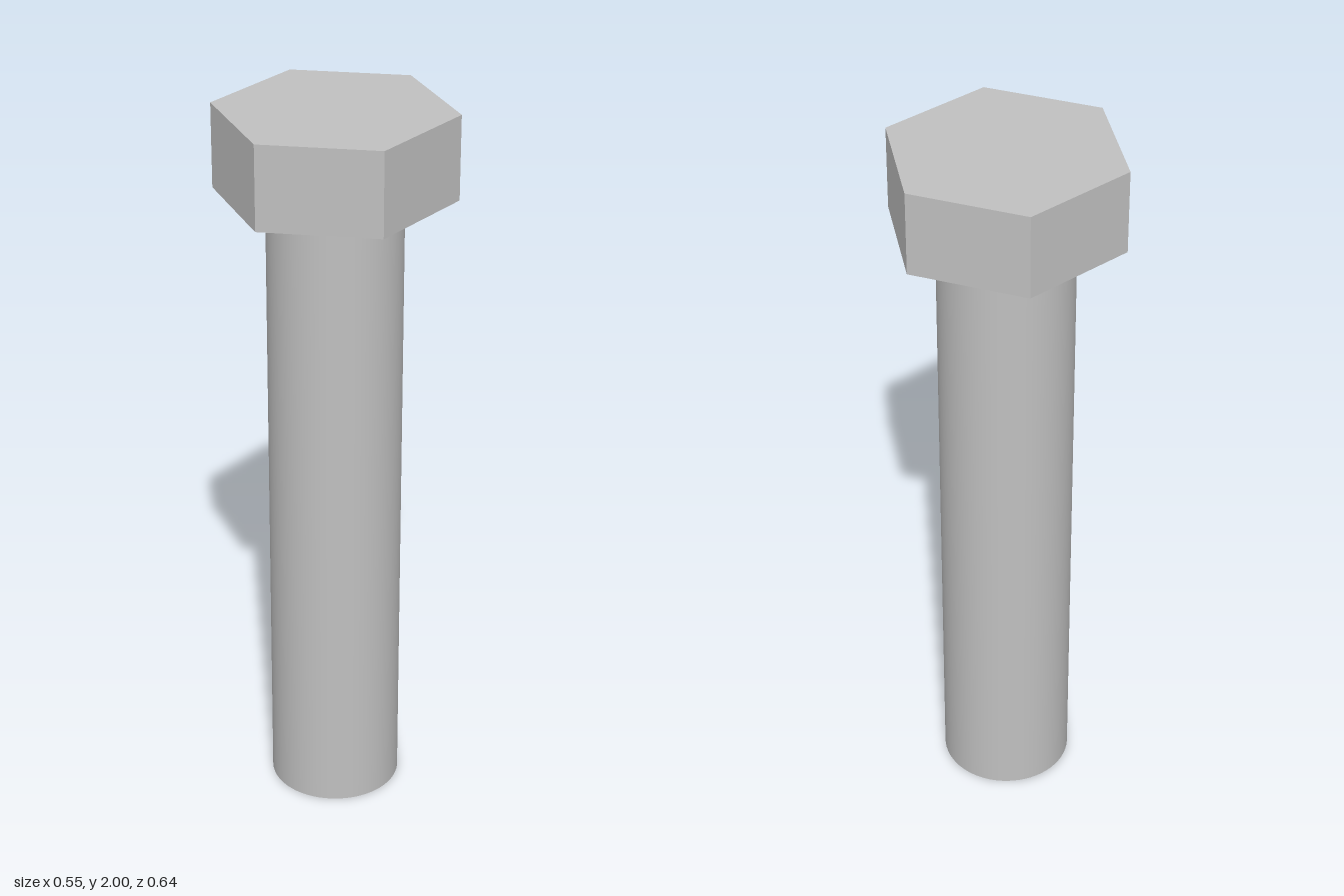
import * as THREE from 'three';

const HEIGHT = 2;
const HEAD_HEIGHT = 0.23;
const HEAD_RADIUS = 0.32; // centre to corner
const SHAFT_RADIUS = 0.18;

export function createModel() {
  const steel = new THREE.MeshStandardMaterial({ color: 0xc0c0c0 });
  steel.name = 'steel';

  const bolt = new THREE.Group();
  bolt.name = 'hexBolt';

  // Smooth round shaft standing on the ground
  const shaftLength = HEIGHT - HEAD_HEIGHT;
  const shaft = new THREE.Mesh(
    new THREE.CylinderGeometry(SHAFT_RADIUS, SHAFT_RADIUS, shaftLength, 64),
    steel
  );
  shaft.name = 'shaft';
  shaft.position.y = shaftLength / 2;

  // Hexagonal head with flat faces, corners pointing to front and back
  const headGeometry = new THREE.CylinderGeometry(HEAD_RADIUS, HEAD_RADIUS, HEAD_HEIGHT, 6).toNonIndexed();
  headGeometry.computeVertexNormals();
  const head = new THREE.Mesh(headGeometry, steel);
  head.name = 'head';
  head.position.y = HEIGHT - HEAD_HEIGHT / 2;

  bolt.add(shaft, head);
  return bolt;
}
